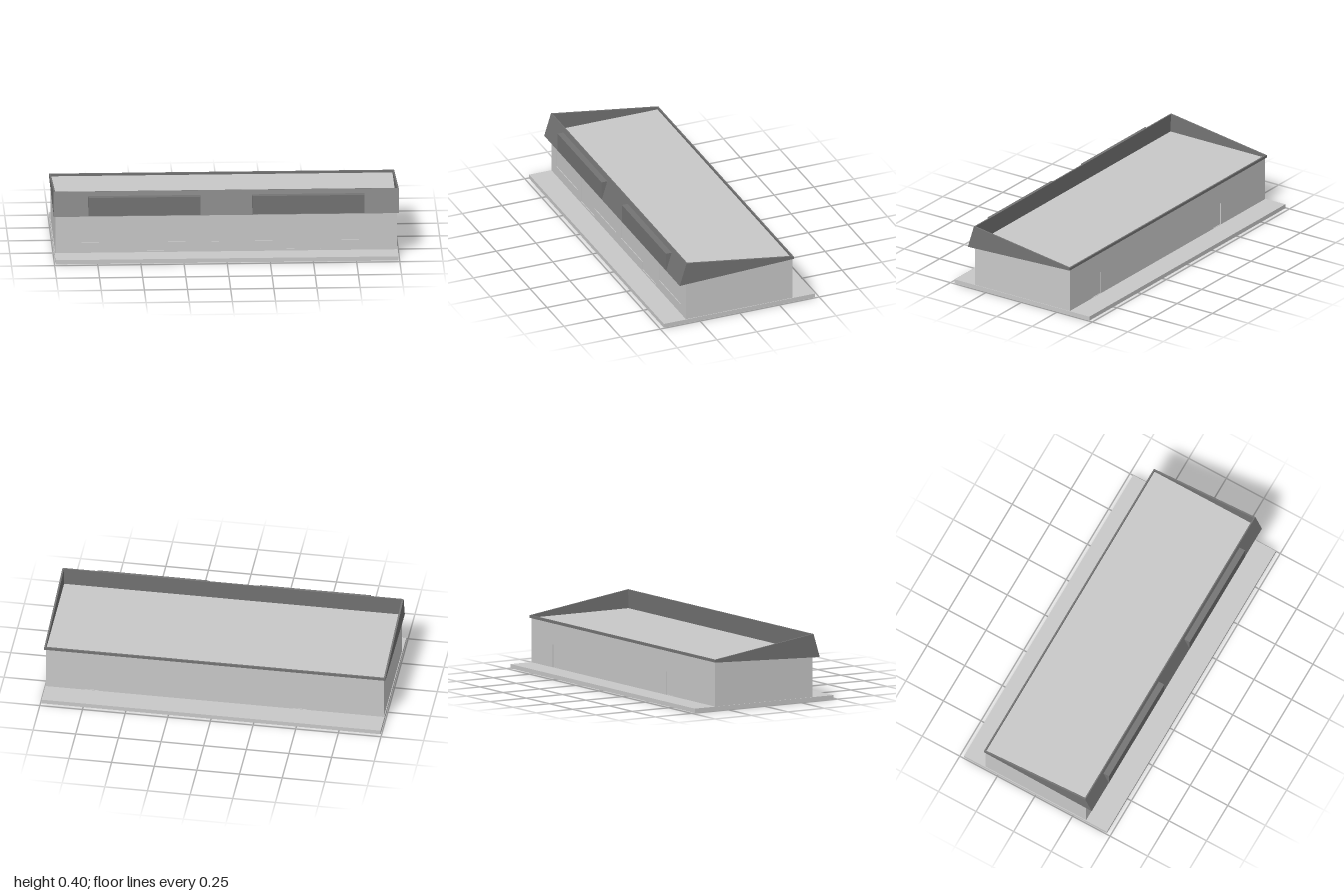
import * as THREE from 'three';

const wall = new THREE.MeshStandardMaterial({ color: 0xc8c8c8, side: THREE.DoubleSide });
wall.name = 'lightGrey';
const trim = new THREE.MeshStandardMaterial({ color: 0x737373 });
trim.name = 'darkGrey';

export function createModel() {
  const model = new THREE.Group();

  const add = (name, geometry, material) => {
    const mesh = new THREE.Mesh(geometry, material);
    mesh.name = name;
    model.add(mesh);
  };

  // Box given by its limits on each axis
  const boxGeometry = ([x0, x1], [y0, y1], [z0, z1]) =>
    new THREE.BoxGeometry(x1 - x0, y1 - y0, z1 - z0)
      .translate((x0 + x1) / 2, (y0 + y1) / 2, (z0 + z1) / 2);

  // Box without its underside
  const openBox = (name, xs, ys, zs, material) => {
    const g = boxGeometry(xs, ys, zs);
    const index = Array.from(g.index.array);
    index.splice(18, 6);
    g.setIndex(index);
    g.clearGroups();
    add(name, g, material);
  };

  // Side profile of [z, y] points, extruded along x
  const prism = (name, points, x0, x1, material) => {
    const shape = new THREE.Shape(points.map(([z, y]) => new THREE.Vector2(-z, y)));
    const g = new THREE.ExtrudeGeometry(shape, { depth: x1 - x0, bevelEnabled: false });
    g.rotateY(Math.PI / 2).translate(x0, 0, 0);
    add(name, g, material);
  };

  // Thin wall skin with shallow recesses cut as [x, y] outlines
  const skin = (name, z, recesses) => {
    const points = (list) => list.map(([x, y]) => new THREE.Vector2(x, y));
    const shape = new THREE.Shape(points([[-0.99, 0.025], [0.99, 0.025], [0.99, 0.285], [-0.99, 0.285]]));
    shape.holes = recesses.map((r) => new THREE.Path(points(r)));
    const g = new THREE.ExtrudeGeometry(shape, { depth: 0.004, bevelEnabled: false });
    add(name, g.translate(0, 0, z), wall);
  };
  const rect = (x0, x1, y0, y1) => [[x0, y0], [x1, y0], [x1, y1], [x0, y1]];

  // Hollow pavement tray and the main block with its flat roof
  openBox('pavement', [-0.994, 0.994], [0, 0.025], [-0.475, 0.475], wall);
  openBox('building', [-0.99, 0.99], [0.025, 0.286], [-0.331, 0.331], wall);

  // Shop front: outer windows, and doors joined to the inner windows
  const sill = 0.085, step = 0.035, head = 0.205;
  skin('frontWall', 0.331, [
    rect(-0.92, -0.6, sill, head),
    [[-0.56, step], [-0.36, step], [-0.36, sill], [-0.04, sill], [-0.04, head], [-0.56, head]],
    [[0.03, sill], [0.35, sill], [0.35, step], [0.55, step], [0.55, head], [0.03, head]],
    rect(0.59, 0.91, sill, head),
  ]);

  // Rear wall with two narrow doors
  skin('rearWall', -0.335, [rect(-0.54, -0.46, 0.027, 0.16), rect(0.68, 0.76, 0.027, 0.16)]);

  // Sloping parapet: front fascia, tapering sides and a low rear rim
  prism('frontFascia', [[0.335, 0.396], [0.378, 0.257], [0.335, 0.259], [0.328, 0.395]], -1, 1, trim);
  const side = [[0.335, 0.396], [0.378, 0.257], [-0.34, 0.284], [-0.34, 0.3]];
  prism('sideFascia', side, -1, -0.99, trim);
  prism('sideFascia', side, 0.99, 1, trim);
  add('rearRim', boxGeometry([-1, 1], [0.284, 0.3], [-0.34, -0.331]), trim);

  // Blank sign boxes on the fascia
  for (const [x0, x1] of [[-0.8, -0.15], [0.15, 0.8]]) {
    add('signBox', boxGeometry([x0, x1], [0.26, 0.37], [0.338, 0.379]), trim);
  }

  return model;
}
